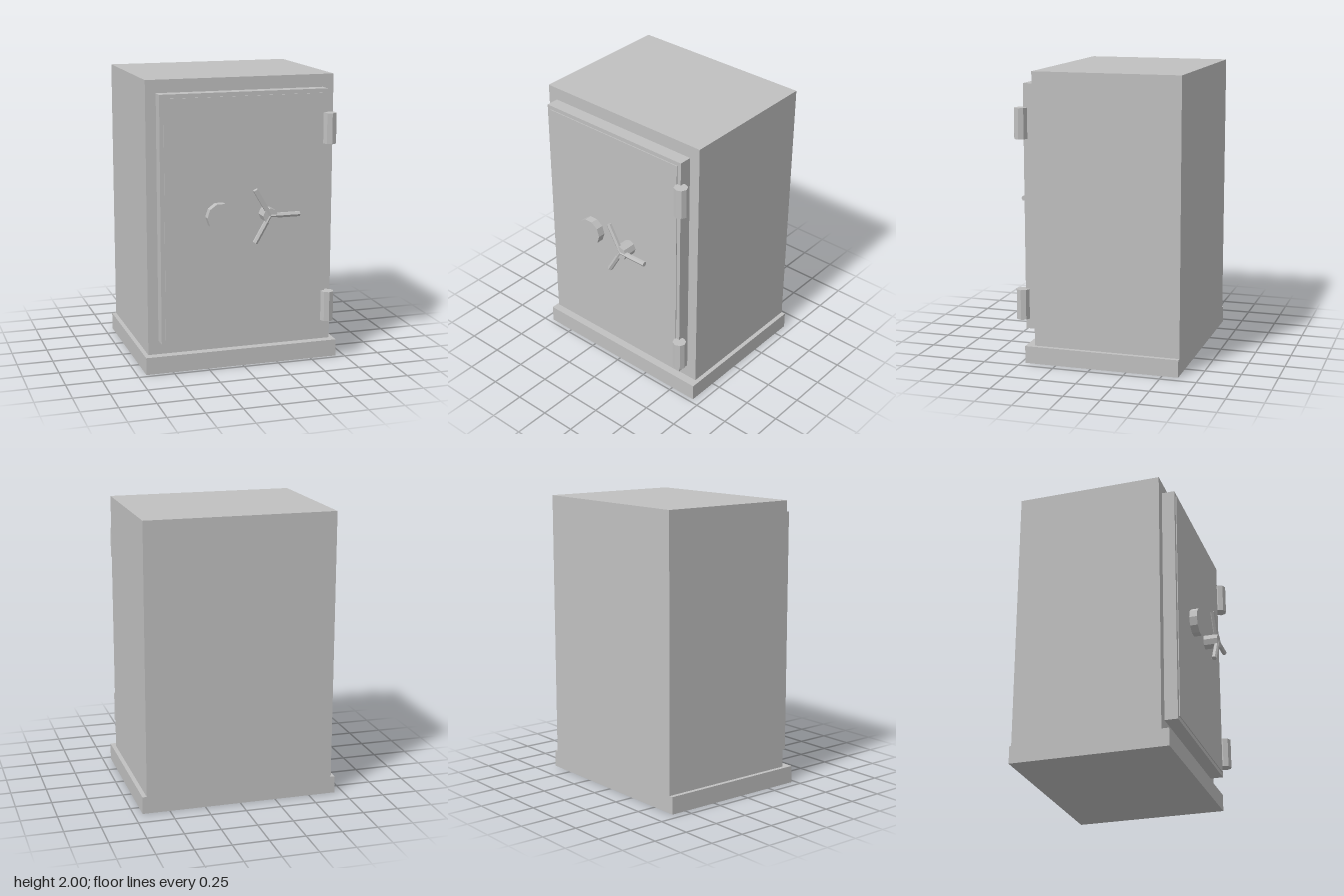
import * as THREE from 'three';

export function createModel() {
  const group = new THREE.Group();
  const steel = new THREE.MeshStandardMaterial({ color: 0xc0c0c0, flatShading: true });
  steel.name = 'grey steel';

  const add = (name, geometry) => {
    const mesh = new THREE.Mesh(geometry, steel);
    mesh.name = name;
    group.add(mesh);
    return mesh;
  };
  // Box from its minimum and maximum corners
  const box = (name, x0, x1, y0, y1, z0, z1) =>
    add(name, new THREE.BoxGeometry(x1 - x0, y1 - y0, z1 - z0))
      .position.set((x0 + x1) / 2, (y0 + y1) / 2, (z0 + z1) / 2);
  // Faceted cylinder running along z from z0 to z1
  const knob = (name, x, y, z0, z1, r, sides) =>
    add(name, new THREE.CylinderGeometry(r, r, z1 - z0, sides, 1, false, Math.PI / 2).rotateX(Math.PI / 2))
      .position.set(x, y, (z0 + z1) / 2);

  // Cabinet, plinth and door
  box('plinth', -0.69, 0.69, 0, 0.12, -0.612, 0.47);
  box('cabinet', -0.66, 0.66, 0.12, 2, -0.612, 0.41);
  box('door', -0.588, 0.584, 0.216, 1.912, 0.41, 0.5);
  box('doorPanel', -0.56, 0.556, 0.244, 1.884, 0.5, 0.506);

  // Hinge barrels on the door's left edge
  for (const [name, y] of [['lowerHinge', 0.395], ['upperHinge', 1.645]]) {
    add(name, new THREE.CylinderGeometry(0.047, 0.047, 0.21, 8)).position.set(0.598, y, 0.515);
  }

  // Combination dial
  knob('dial', -0.185, 1.083, 0.5, 0.56, 0.096, 10);

  // Three-spoked handle
  knob('handleHub', 0.146, 1.083, 0.5, 0.607, 0.052, 8);
  const length = 0.21;
  for (let i = 0; i < 3; i++) {
    const spoke = new THREE.CylinderGeometry(0.018, 0.018, length, 6)
      .translate(0, length / 2, 0)
      .rotateZ(-Math.PI / 2 + i * Math.PI * 2 / 3);
    add('handleSpoke', spoke).position.set(0.146, 1.083, 0.594);
  }
  return group;
}
